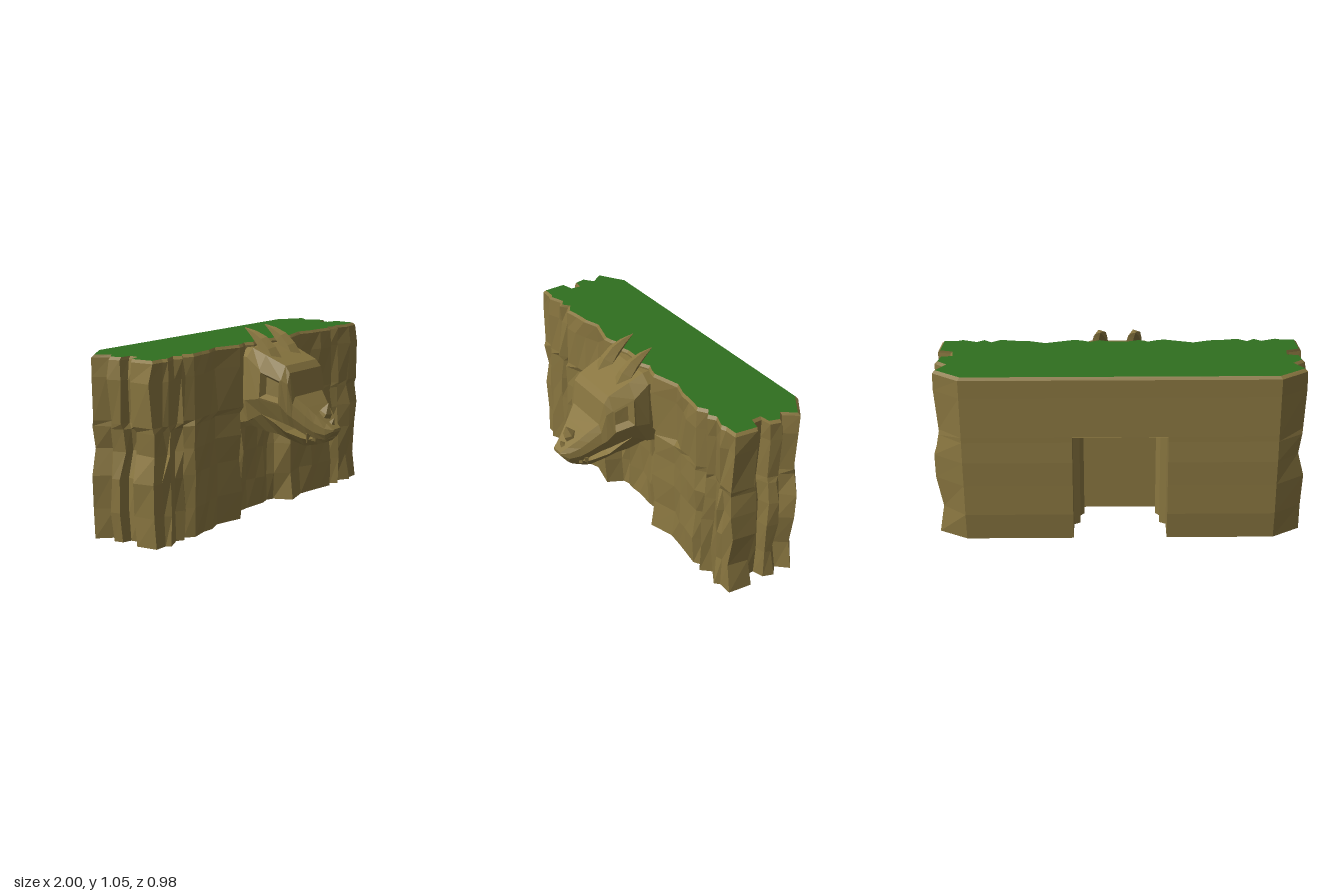
import * as THREE from 'three';

const rock = new THREE.MeshStandardMaterial({ color: 0x897640, flatShading: true, side: THREE.DoubleSide });
rock.name = 'tan rock';
const grass = new THREE.MeshStandardMaterial({ color: 0x306f1f, flatShading: true, side: THREE.DoubleSide });
grass.name = 'green grass';

function mesh(name, geometry, material = rock) {
  const m = new THREE.Mesh(geometry, material);
  m.name = name;
  return m;
}

// Skin a list of cross-sections (each a list of [x, y, z]) with flat faces; skip(i, j) leaves a quad open
function loft(sections, closed = true, caps = true, skip = () => false) {
  const pos = [];
  const tri = (a, b, c) => pos.push(...a, ...b, ...c);
  const n = sections[0].length;
  for (let i = 0; i < sections.length - 1; i++) {
    const a = sections[i], b = sections[i + 1];
    for (let j = 0; j < (closed ? n : n - 1); j++) {
      if (skip(i, j)) continue;
      const k = (j + 1) % n;
      tri(a[j], a[k], b[k]);
      tri(a[j], b[k], b[j]);
    }
  }
  if (caps) {
    const s = sections[0], e = sections[sections.length - 1];
    for (let j = 1; j < n - 1; j++) {
      tri(s[0], s[j + 1], s[j]);
      tri(e[0], e[j], e[j + 1]);
    }
  }
  const g = new THREE.BufferGeometry();
  g.setAttribute('position', new THREE.Float32BufferAttribute(pos, 3));
  g.computeVertexNormals();
  return g;
}

// Symmetric ring at depth z from right-half points listed top to bottom
const ring = (z, half) => [
  ...[...half].reverse().map(([x, y]) => [x, y, z]),
  ...half.map(([x, y]) => [-x, y, z]),
];

function randomizer(seed) {
  return () => {
    seed = (seed * 16807) % 2147483647;
    return seed / 2147483647 - 0.5;
  };
}

function createCliff() {
  const group = new THREE.Group();
  group.name = 'cliff';
  const rnd = randomizer(4711);
  const rows = [0, 0.16, 0.34, 0.48, 0.6, 0.63, 0.86, 0.96];
  const swellLeft = [0.004, -0.008, 0.008, 0.01, -0.01, -0.012, 0.004, -0.004];
  const swellRight = [-0.005, 0, 0.012, -0.028, -0.012, -0.008, 0.01, -0.002];
  const backZ = [-0.47, -0.487, -0.487, -0.49, -0.485, -0.485, -0.482, -0.482];

  // Half outline of the jagged wall, from the middle of the front to the back corner
  const half = [
    [0.05, 0.0], [0.11, 0.02], [0.16, -0.005], [0.205, 0.015], [0.25, 0.025],
    [0.41, -0.02], [0.5, 0.01], [0.57, 0.015], [0.66, 0.03], [0.71, -0.005], [0.75, 0.028],
    [0.79, 0.0], [0.87, 0.03], [0.9, 0.018], [0.975, 0.015], [0.985, -0.115], [0.915, -0.135],
    [0.91, -0.195], [0.97, -0.205], [0.985, -0.265], [0.93, -0.31], [0.985, -0.385], [0.84, -0.482],
  ];
  const outline = [...half.map(([x, z]) => [-x, z]).reverse(), ...half];
  const sections = rows.map((y, r) => outline.map(([x, z], i) => {
    if (i === 0 || i === outline.length - 1) return [x, y, backZ[r]];
    const amount = r === rows.length - 1 ? 0 : 0.025;
    let nx = x + rnd() * amount, nz = z + rnd() * amount;
    if (x > 0.89) nx += swellLeft[r];
    if (x < -0.89) nx -= swellRight[r];
    // Blocked doorway set back below the head
    if (Math.abs(x) < 0.22 && y < 0.62) {
      nz -= 0.085;
      nx += rnd() * 0.02;
    }
    return [THREE.MathUtils.clamp(nx, -1, 1), y, Math.min(nz, 0.048)];
  }));
  group.add(mesh('cliffWall', loft(sections, false, false)));

  // Bevelled rim and grass
  const edge = sections[rows.length - 1];
  const inner = edge.map(([x, , z]) => [x * 0.986, 0.975, -0.225 + (z + 0.225) * 0.95]);
  group.add(mesh('topRim', loft([edge, inner], true, false)));
  const lawn = new THREE.ShapeGeometry(new THREE.Shape(inner.map(([x, , z]) => new THREE.Vector2(x, -z))));
  lawn.rotateX(-Math.PI / 2).translate(0, 0.975, 0);
  group.add(mesh('grassTop', lawn, grass));

  // Back wall in three bays, the middle one open below the lintel
  const bay = (name, x0, x1, from) => group.add(mesh(name, loft(
    rows.slice(from).map((y, i) => [[x0, y, backZ[from + i]], [x1, y, backZ[from + i]]]), false, false)));
  bay('backWallLeft', 0.84, 0.255, 0);
  bay('backLintel', 0.255, -0.255, 5);
  bay('backWallRight', -0.255, -0.84, 0);

  // Niche in the back with ragged sides
  const niche = [[-0.489, 0.255], [-0.33, 0.255], [-0.31, 0.22], [-0.26, 0.24], [-0.21, 0.2], [-0.14, 0.215]];
  group.add(mesh('nicheWalls', loft(niche.map(([z, w]) => {
    const foot = Math.max(z, -0.471);
    return [[-w, 0, foot], [-w, 0.16, z], [-w, 0.63, z], [w, 0.63, z], [w, 0.16, z], [w, 0, foot]];
  }), false, false)));
  const end = new THREE.PlaneGeometry(0.43, 0.63).rotateY(Math.PI).translate(0, 0.315, -0.14);
  group.add(mesh('nicheEnd', end));
  return group;
}

// Curved horn from a spine of [z, y, radius]
function hornGeometry(x, spine, sides = 5) {
  return loft(spine.map(([z, y, r], i) => {
    const a = spine[Math.max(i - 1, 0)], b = spine[Math.min(i + 1, spine.length - 1)];
    const len = Math.hypot(b[0] - a[0], b[1] - a[1]);
    const tz = (b[0] - a[0]) / len, ty = (b[1] - a[1]) / len;
    return Array.from({ length: sides }, (_, k) => {
      const t = (k / sides) * Math.PI * 2;
      return [x + Math.cos(t) * r, y + Math.sin(t) * r * tz, z - Math.sin(t) * r * ty];
    });
  }));
}

function createHead() {
  const group = new THREE.Group();
  group.name = 'beastHead';
  group.position.x = 0.008;

  // Skull and snout: z, top y, top half width, shoulder, cheek, lower edge
  const skull = [
    [-0.03, 0.95, 0.15, [0.2, 0.91], [0.22, 0.68], [0.2, 0.53]],
    [0.04, 0.95, 0.16, [0.218, 0.905], [0.235, 0.67], [0.21, 0.55]],
    [0.127, 0.917, 0.16, [0.222, 0.845], [0.237, 0.685], [0.2, 0.595]],
    [0.25, 0.867, 0.152, [0.195, 0.795], [0.205, 0.655], [0.168, 0.554]],
    [0.28, 0.83, 0.155, [0.178, 0.77], [0.183, 0.61], [0.15, 0.538]],
    [0.302, 0.7, 0.135, [0.16, 0.66], [0.165, 0.59], [0.14, 0.528]],
    [0.36, 0.643, 0.1, [0.125, 0.6], [0.128, 0.54], [0.108, 0.49]],
    [0.4, 0.602, 0.08, [0.1, 0.56], [0.1, 0.51], [0.085, 0.474]],
    [0.45, 0.556, 0.05, [0.07, 0.53], [0.07, 0.495], [0.055, 0.468]],
    [0.488, 0.525, 0.03, [0.04, 0.522], [0.04, 0.515], [0.03, 0.508]],
  ];
  const rings = skull.map(([z, top, w, ...rest]) => ring(z, [[w, top], ...rest]));
  // Ring points 1-2 and 5-6 bound the cheeks, left open for the eye sockets
  group.add(mesh('skull', loft(rings, true, true, (i, j) => i === 2 && (j === 1 || j === 5))));

  // Lower jaw: z, top y, bottom y, half width
  const jaw = [
    [-0.03, 0.59, 0.51, 0.2], [0.04, 0.6, 0.51, 0.21], [0.12, 0.597, 0.49, 0.2], [0.19, 0.555, 0.48, 0.18],
    [0.25, 0.505, 0.455, 0.155], [0.33, 0.472, 0.425, 0.115], [0.365, 0.464, 0.43, 0.1],
    [0.4, 0.476, 0.437, 0.08], [0.43, 0.474, 0.446, 0.062], [0.456, 0.477, 0.468, 0.045],
  ];
  group.add(mesh('lowerJaw', loft(jaw.map(([z, top, low, w]) => ring(z, [[w, top], [w * 0.72, low]])))));

  // Spikes on the nose
  group.add(mesh('noseHorn', hornGeometry(0, [[0.39, 0.575, 0.045], [0.415, 0.61, 0.036], [0.43, 0.658, 0.002]])));
  group.add(mesh('noseSpike', hornGeometry(0, [[0.445, 0.54, 0.028], [0.467, 0.578, 0.002]])));

  for (const s of [1, -1]) {
    const side = s > 0 ? 'left' : 'right';
    group.add(mesh(side + 'Horn', hornGeometry(s * 0.095, [
      [0.135, 0.865, 0.055], [0.1, 0.93, 0.046], [0.056, 0.98, 0.037], [0.002, 1.016, 0.022], [-0.06, 1.047, 0.002],
    ])));
    group.add(mesh(side + 'UpperFang', hornGeometry(s * 0.1, [[0.365, 0.5, 0.018], [0.355, 0.445, 0.002]], 4)));
    group.add(mesh(side + 'LowerFang', hornGeometry(s * 0.08, [[0.385, 0.46, 0.016], [0.395, 0.505, 0.002]], 4)));

    // Sunken eye socket: raised lip, sloping walls and a floor
    const [lo, hi] = s > 0 ? [1, 2] : [5, 6];
    const corners = [rings[2][lo], rings[2][hi], rings[3][hi], rings[3][lo]];
    const centre = [0, 1, 2].map((a) => corners.reduce((sum, p) => sum + p[a] / 4, 0));
    const inset = (f, d) => corners.map((p) =>
      p.map((v, a) => centre[a] + (v - centre[a]) * f + (a === 0 ? s * d : 0)));
    const socket = [corners, inset(0.86, 0.004), inset(0.58, -0.03), inset(0, -0.03)];
    group.add(mesh(side + 'EyeSocket', loft(socket, true, false)));
  }
  return group;
}

export function createModel() {
  const model = new THREE.Group();
  model.name = 'cliffWithBeastHead';
  model.add(createCliff(), createHead());
  return model;
}
